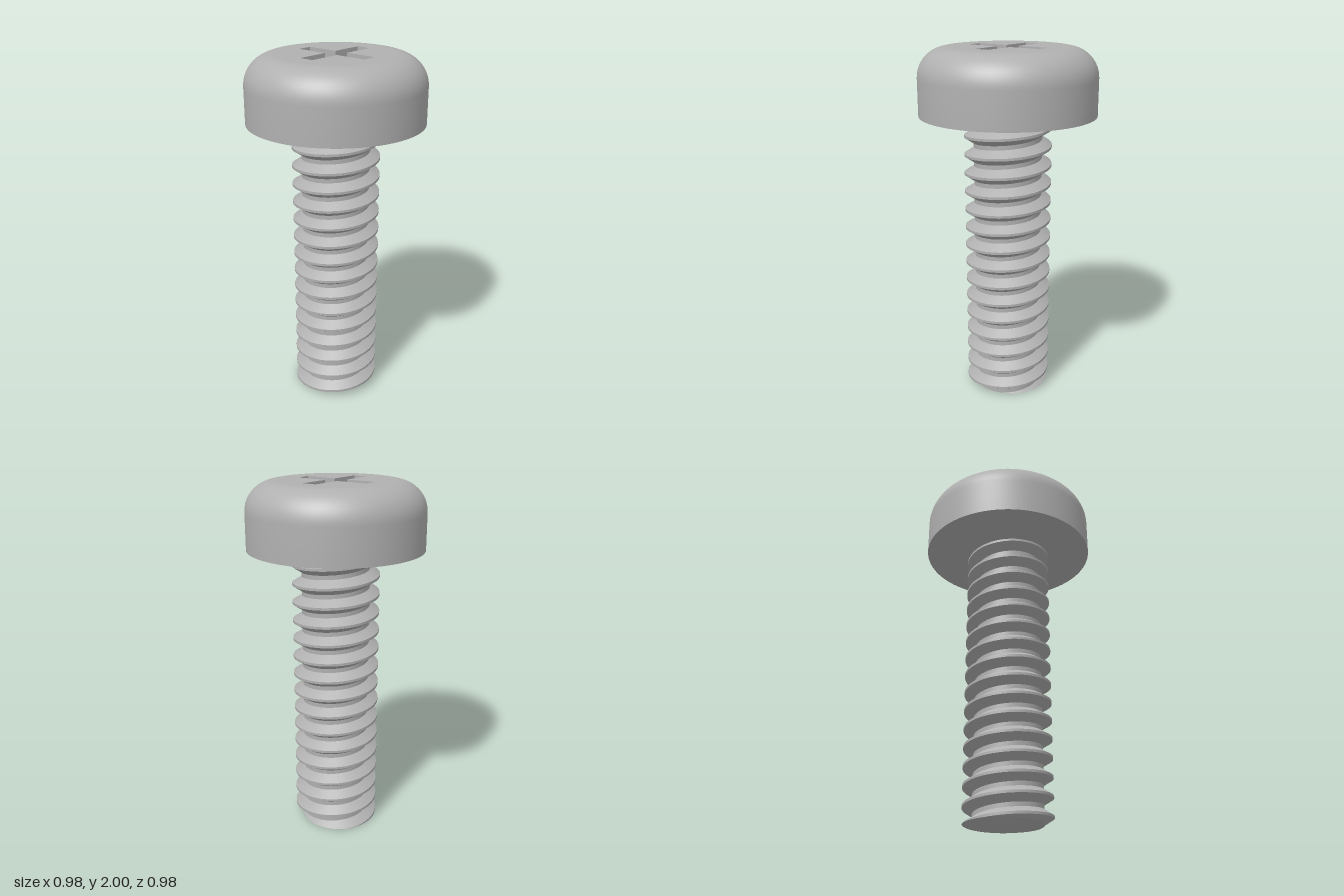
import * as THREE from 'three';
import { toCreasedNormals } from 'three/addons/utils/BufferGeometryUtils.js';

const HEAD_Y = 1.635, TOP_Y = 2, HEAD_R = 0.488, ROUND = 0.163;
const PITCH = 0.1055, CREST_Y = 1.534, CREST_R = 0.243, ROOT_R = 0.19;
const CREST_HALF = 0.007, ROOT_HALF = 0.041; // axial distances from the crest line
const RECESS = 0.12, ARM = 0.224, HALF = 0.041;

// Thread radius at a height and angle (trapezoid tooth along a right-hand helix)
function threadRadius(y, t) {
  const turns = (y - CREST_Y) / PITCH - t / (2 * Math.PI);
  const d = Math.abs(turns - Math.round(turns)) * PITCH;
  const k = THREE.MathUtils.clamp((d - CREST_HALF) / (ROOT_HALF - CREST_HALF), 0, 1);
  return CREST_R + (ROOT_R - CREST_R) * k;
}

// Threaded shank: helical rows trimmed at the tip and under the head
function shankGeometry(segments = 72) {
  const offsets = [];
  for (let k = -17; k <= 2; k++) {
    for (const o of [-ROOT_HALF, -CREST_HALF, CREST_HALF, ROOT_HALF]) offsets.push(k * PITCH + o);
  }
  const rows = offsets.length + 1, pos = [], index = [];
  for (let i = 0; i <= segments; i++) {
    const t = (i / segments) * 2 * Math.PI;
    pos.push(0, 0, 0); // centre of the flat tip
    for (const o of offsets) {
      const y = THREE.MathUtils.clamp(CREST_Y + o + PITCH * i / segments, 0, HEAD_Y);
      const r = threadRadius(y, t);
      pos.push(r * Math.sin(t), y, r * Math.cos(t));
    }
  }
  for (let i = 0; i < segments; i++) {
    for (let j = 0; j < rows - 1; j++) {
      const a = i * rows + j, b = a + rows;
      index.push(a, b, b + 1, a, b + 1, a + 1);
    }
  }
  const g = new THREE.BufferGeometry();
  g.setAttribute('position', new THREE.Float32BufferAttribute(pos, 3));
  g.setIndex(index);
  return toCreasedNormals(g, 0.5);
}

// Corners of the cross recess, counter-clockwise
function crossPoints() {
  const pts = [];
  for (let q = 0; q < 4; q++) {
    for (const [x, y] of [[ARM, -HALF], [ARM, HALF], [HALF, HALF]]) {
      pts.push(new THREE.Vector2(x, y).rotateAround(new THREE.Vector2(), q * Math.PI / 2));
    }
  }
  return pts;
}

export function createModel() {
  const model = new THREE.Group();
  const steel = new THREE.MeshStandardMaterial({ color: 0xb0b0b0 });
  steel.name = 'steel grey';
  const add = (name, geometry, parent = model) => {
    const mesh = new THREE.Mesh(geometry, steel);
    mesh.name = name;
    parent.add(mesh);
    return mesh;
  };

  add('threadedShank', shankGeometry());

  // Head: flat underside, straight wall and rounded shoulder
  const flatR = HEAD_R - ROUND;
  const profile = [new THREE.Vector2(0.18, HEAD_Y), new THREE.Vector2(HEAD_R, HEAD_Y)];
  for (let i = 0; i <= 12; i++) {
    const a = (i / 12) * Math.PI / 2;
    profile.push(new THREE.Vector2(flatR + ROUND * Math.cos(a), TOP_Y - ROUND + ROUND * Math.sin(a)));
  }
  add('head', toCreasedNormals(new THREE.LatheGeometry(profile, 96), 0.6));

  // Flat top with the cross cut out
  const cross = crossPoints();
  const disc = new THREE.Shape().absarc(0, 0, flatR, 0, Math.PI * 2);
  disc.holes.push(new THREE.Path(cross));
  const top = add('headTop', new THREE.ShapeGeometry(disc, 48));
  top.rotation.x = -Math.PI / 2;
  top.position.y = TOP_Y;

  // Recess floor and walls, facing inward
  const recess = new THREE.Group();
  recess.name = 'crossRecess';
  model.add(recess);
  const floor = add('recessFloor', new THREE.ShapeGeometry(new THREE.Shape(cross)), recess);
  floor.rotation.x = -Math.PI / 2;
  floor.position.y = TOP_Y - RECESS;
  cross.forEach((p, i) => {
    const q = cross[(i + 1) % cross.length];
    const dx = q.x - p.x, dy = q.y - p.y;
    const wall = add('recessWall', new THREE.PlaneGeometry(Math.hypot(dx, dy), RECESS), recess);
    wall.position.set((p.x + q.x) / 2, TOP_Y - RECESS / 2, -(p.y + q.y) / 2);
    wall.rotation.y = Math.atan2(-dy, -dx) + Math.PI * 2;
    // inward normal is the edge direction turned left
    wall.rotation.y = Math.atan2(-dy, dx);
  
    const n = new THREE.Vector3(-dy, 0, -dx);
    wall.rotation.y = Math.atan2(n.x, n.z);
  });

  return model;
}
